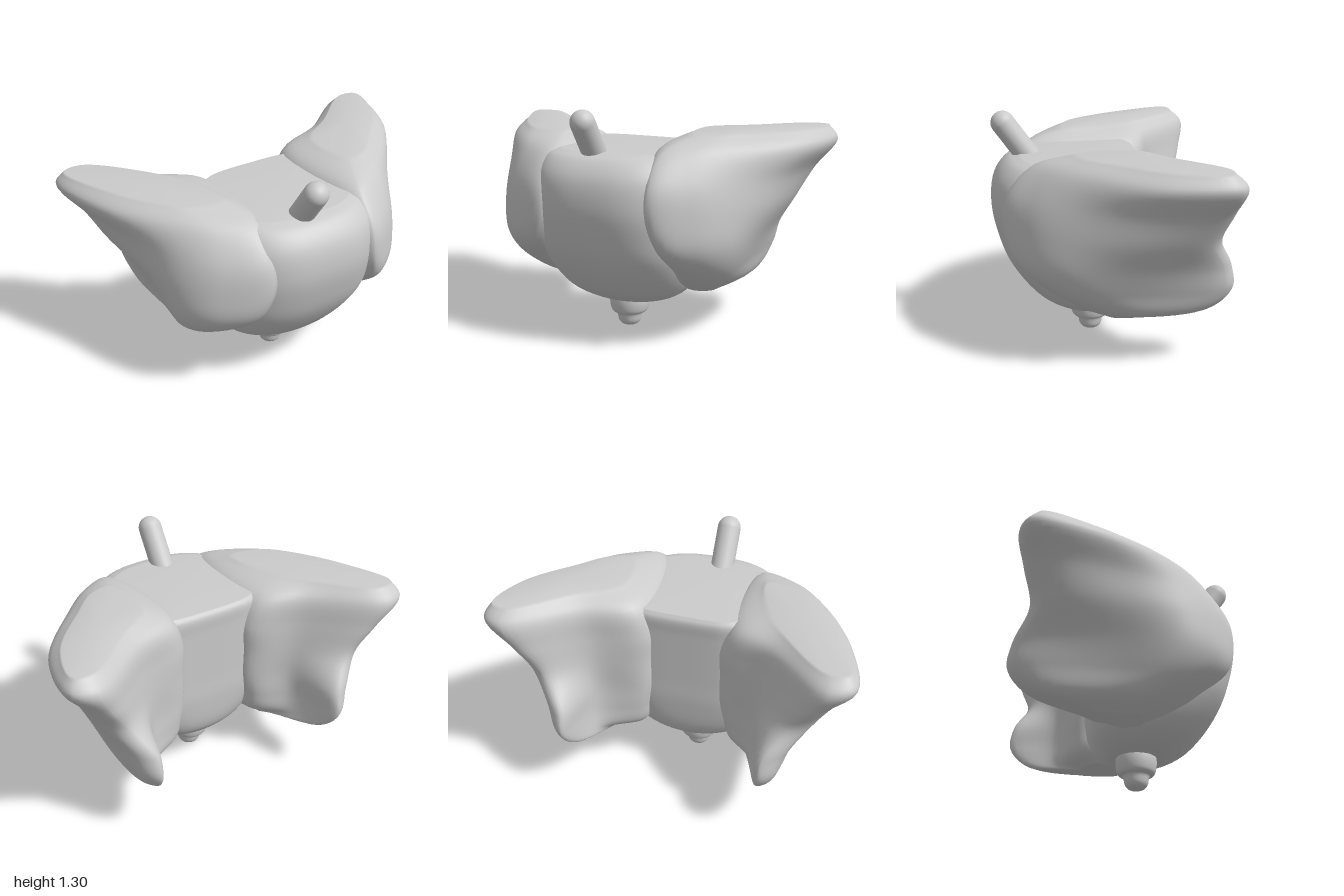
import * as THREE from 'three';

const V = (x, y, z) => new THREE.Vector3(x, y, z);

// Smooth closed skin over rings listed from bottom to top (clockwise seen from above)
function loft(rings, around = 64, levels = 44) {
  const smooth = rings.map((r) => {
    const c = new THREE.CatmullRomCurve3(r, true, 'centripetal');
    return Array.from({ length: around }, (_, j) => c.getPoint(j / around));
  });
  const pos = [], idx = [];
  const columns = Array.from({ length: around }, (_, j) =>
    new THREE.CatmullRomCurve3(smooth.map((r) => r[j]), false, 'centripetal'));
  for (let i = 0; i <= levels; i++) {
    for (const c of columns) pos.push(...c.getPoint(i / levels).toArray());
  }
  for (let i = 0; i < levels; i++) {
    for (let j = 0; j < around; j++) {
      const a = i * around + j, b = i * around + (j + 1) % around;
      idx.push(a, a + around, b, b, a + around, b + around);
    }
  }
  // end caps
  [0, levels].forEach((row) => {
    const mid = V(0, 0, 0), n = pos.length / 3;
    for (let j = 0; j < around; j++) {
      mid.add(V(0, 0, 0).fromArray(pos, (row * around + j) * 3));
    }
    mid.divideScalar(around);
    pos.push(mid.x, mid.y + (row ? 0.01 : -0.008), mid.z);
    for (let j = 0; j < around; j++) {
      const a = row * around + j, b = row * around + (j + 1) % around;
      if (row) idx.push(n, b, a); else idx.push(n, a, b);
    }
  });
  const g = new THREE.BufferGeometry();
  g.setAttribute('position', new THREE.Float32BufferAttribute(pos, 3));
  g.setIndex(idx);
  g.computeVertexNormals();
  return g;
}

// Body levels: height, front z, back z, half width, front squareness, back squareness
const BODY = [
  [0.18, 0.2, -0.06, 0.15, 2, 2],
  [0.2, 0.27, -0.1, 0.24, 2, 2],
  [0.28, 0.4, -0.17, 0.36, 2.2, 2.4],
  [0.48, 0.55, -0.2, 0.44, 2.5, 3.5],
  [0.64, 0.61, -0.2, 0.45, 2.6, 4],
  [0.8, 0.64, -0.2, 0.45, 2.6, 4],
  [0.95, 0.62, -0.2, 0.44, 2.6, 4],
  [1.04, 0.55, -0.2, 0.41, 2.6, 4],
  [1.07, 0.47, -0.18, 0.37, 2.6, 4],
];

// Wing levels: height, then plan points x, z
// (inner root, inner side, tip inside, tip outside, outer side, shoulder, front, front seam)
const WING = [
  [0.25, 0.28, -0.13, 0.36, -0.18, 0.42, -0.22, 0.47, -0.2, 0.48, -0.08, 0.46, 0.02, 0.38, 0.06, 0.3, 0.02],
  [0.32, 0.22, -0.18, 0.44, -0.34, 0.53, -0.52, 0.59, -0.45, 0.61, -0.13, 0.55, 0.1, 0.46, 0.19, 0.33, 0.2],
  [0.44, 0.2, -0.2, 0.46, -0.35, 0.56, -0.62, 0.63, -0.56, 0.66, -0.1, 0.63, 0.2, 0.54, 0.33, 0.4, 0.38],
  [0.58, 0.18, -0.2, 0.46, -0.34, 0.57, -0.6, 0.67, -0.54, 0.72, -0.06, 0.67, 0.27, 0.54, 0.45, 0.37, 0.53],
  [0.75, 0.18, -0.2, 0.47, -0.34, 0.68, -0.52, 0.79, -0.45, 0.8, -0.05, 0.68, 0.28, 0.53, 0.47, 0.32, 0.58],
  [0.92, 0.18, -0.2, 0.49, -0.34, 0.79, -0.56, 0.89, -0.48, 0.85, -0.08, 0.67, 0.26, 0.51, 0.45, 0.31, 0.56],
  [1.08, 0.24, -0.19, 0.53, -0.34, 0.87, -0.59, 1, -0.53, 0.95, -0.18, 0.67, 0.18, 0.48, 0.36, 0.32, 0.42],
  [1.16, 0.38, -0.1, 0.59, -0.28, 0.86, -0.51, 0.96, -0.49, 0.9, -0.24, 0.68, 0.02, 0.54, 0.16, 0.42, 0.18],
];

// The right wing is fuller at the shoulder and leaner along its outer side
const RIGHT_WIDTH = [1.25, 1, 1, 1.01, 0.97, 1.05, 1.06, 0.92];

function bodyRing([y, front, back, half, nFront, nBack]) {
  const mid = (front + back) / 2, depth = (front - back) / 2;
  return Array.from({ length: 32 }, (_, k) => {
    const t = (k / 32) * Math.PI * 2;
    const n = k < 16 ? nFront : nBack;
    const p = (v) => Math.sign(v) * Math.abs(v) ** (2 / n);
    return V(half * p(Math.cos(t)), y, mid + depth * p(Math.sin(t)));
  });
}

function wingRing([y, ...p], side) {
  const ring = [];
  for (let k = 0; k < p.length; k += 2) {
    const x = p[k], z = p[k + 1];
    ring.push(side > 0 ? V(x, y, z)
      : V(-x * RIGHT_WIDTH[k / 2], 0.26 + (y - 0.26) * 0.97, z - (z < -0.4 ? 0.03 : 0)));
  }
  return side > 0 ? ring : ring.reverse();
}

export function createModel() {
  const model = new THREE.Group();
  const material = new THREE.MeshStandardMaterial({ color: 0xcccccc });
  const add = (name, geometry) => {
    const mesh = new THREE.Mesh(geometry, material);
    mesh.name = name;
    model.add(mesh);
    return mesh;
  };

  // central body and the two swept-back wings
  add('body', loft(BODY.map(bodyRing), 96));
  add('leftWing', loft(WING.map((l) => wingRing(l, 1))));
  add('rightWing', loft(WING.map((l) => wingRing(l, -1))));

  // two-step knob underneath
  const profile = new THREE.SplineCurve([
    [0, 0], [0.04, 0.006], [0.063, 0.03], [0.074, 0.075], [0.095, 0.085],
    [0.108, 0.105], [0.115, 0.15], [0.11, 0.2], [0.09, 0.22],
  ].map(([r, y]) => new THREE.Vector2(r, y))).getPoints(40);
  profile.forEach((p) => { p.x = Math.max(p.x, 0); });
  add('knob', new THREE.LatheGeometry(profile, 32)).position.set(-0.02, 0, 0.08);

  // round-ended peg leaning forward from the top
  const peg = add('peg', new THREE.CapsuleGeometry(0.067, 0.3, 10, 28));
  peg.position.set(-0.05, 1.115, 0.475);
  peg.rotation.x = Math.atan2(0.58, 0.81);
  return model;
}
